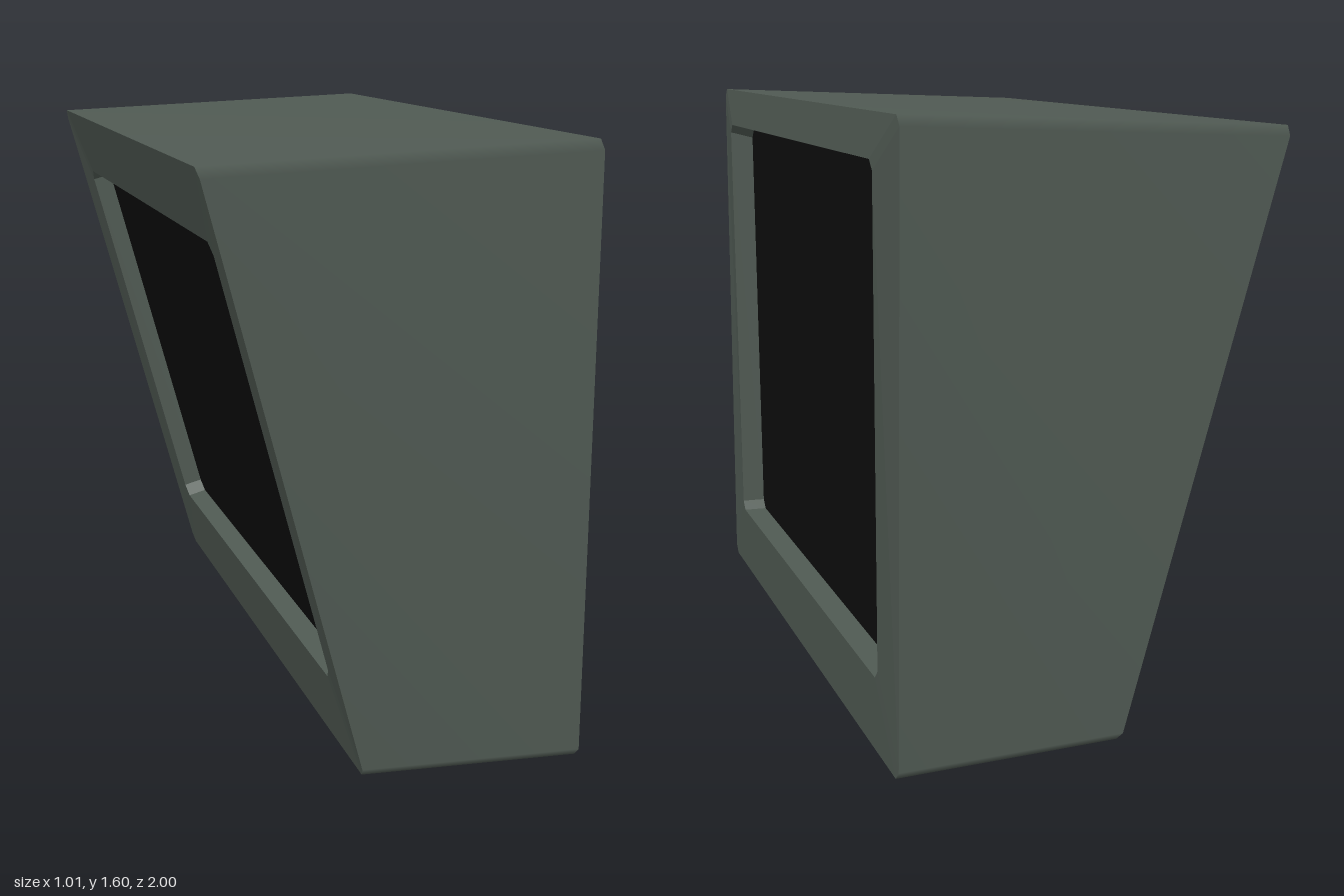
import * as THREE from 'three';

// Eight-point chamfered outline; top and bottom are [x, y, half width in z].
// Points run counter-clockwise when seen from +x.
function ring(top, bottom, c) {
  const [tx, ty, tz] = top, [bx, by, bz] = bottom;
  const k = c / (ty - by);
  const at = (t, y, z) => [bx + (tx - bx) * t, y, z];
  const low = at(k, by + c, 0), high = at(1 - k, ty - c, 0);
  const zl = bz + (tz - bz) * k, zh = tz - (tz - bz) * k;
  return [
    [bx, by, c - bz], [low[0], low[1], -zl], [high[0], high[1], -zh], [tx, ty, c - tz],
    [tx, ty, tz - c], [high[0], high[1], zh], [low[0], low[1], zl], [bx, by, bz - c],
  ];
}

function geometryFrom(points, index, flat) {
  let g = new THREE.BufferGeometry();
  g.setAttribute('position', new THREE.Float32BufferAttribute(points.flat(), 3));
  g.setIndex(index);
  if (flat) g = g.toNonIndexed();
  g.computeVertexNormals();
  return g;
}

// Band of faces joining two outlines
function band(a, b, flat = true) {
  const n = a.length, index = [];
  for (let i = 0; i < n; i++) {
    const j = (i + 1) % n;
    index.push(i, j, n + j, i, n + j, n + i);
  }
  return geometryFrom([...a, ...b], index, flat);
}

// Flat panel filling an outline
function panel(a, flip) {
  const index = [];
  for (let i = 1; i < a.length - 1; i++) index.push(0, ...(flip ? [i + 1, i] : [i, i + 1]));
  return geometryFrom(a, index, true);
}

export function createModel() {
  const model = new THREE.Group();
  model.name = 'wedgeMonitor';

  const casing = new THREE.MeshStandardMaterial({ color: 0x505a53 });
  casing.name = 'grey green casing';
  const glass = new THREE.MeshStandardMaterial({ color: 0x0d0d0d });
  glass.name = 'black screen';

  const add = (name, geometry, material) => {
    const mesh = new THREE.Mesh(geometry, material);
    mesh.name = name;
    model.add(mesh);
  };

  // Upright side: bezel swells slightly toward the opening
  const uprightEdge = ring([0.487, 1.6, 1], [0.495, 0, 0.98], 0.025);
  const uprightOpening = ring([0.505, 1.49, 0.835], [0.499, 0.2, 0.817], 0.025);
  const uprightFloor = ring([0.435, 1.472, 0.833], [0.43, 0.2, 0.815], 0.025);

  // Sloping side: bezel dips slightly toward the opening
  const slopeEdge = ring([-0.505, 1.56, 1], [-0.09, 0.02, 0.98], 0.025);
  const slopeOpening = ring([-0.445, 1.37, 0.865], [-0.14, 0.236, 0.85], 0.03);
  const slopeFloor = slopeOpening.map(([x, y, z]) => [x + 0.055, y + 0.015, z]);

  // Outer casing
  add('shell', band(slopeEdge, uprightEdge, false), casing);

  // Bezels and recess walls
  add('uprightBezel', band(uprightEdge, uprightOpening), casing);
  add('uprightRecess', band(uprightOpening, uprightFloor), casing);
  add('slopeBezel', band(slopeOpening, slopeEdge), casing);
  add('slopeRecess', band(slopeFloor, slopeOpening), casing);

  // Screens
  add('uprightScreen', panel(uprightFloor, false), glass);
  add('slopeScreen', panel(slopeFloor, true), glass);

  return model;
}
